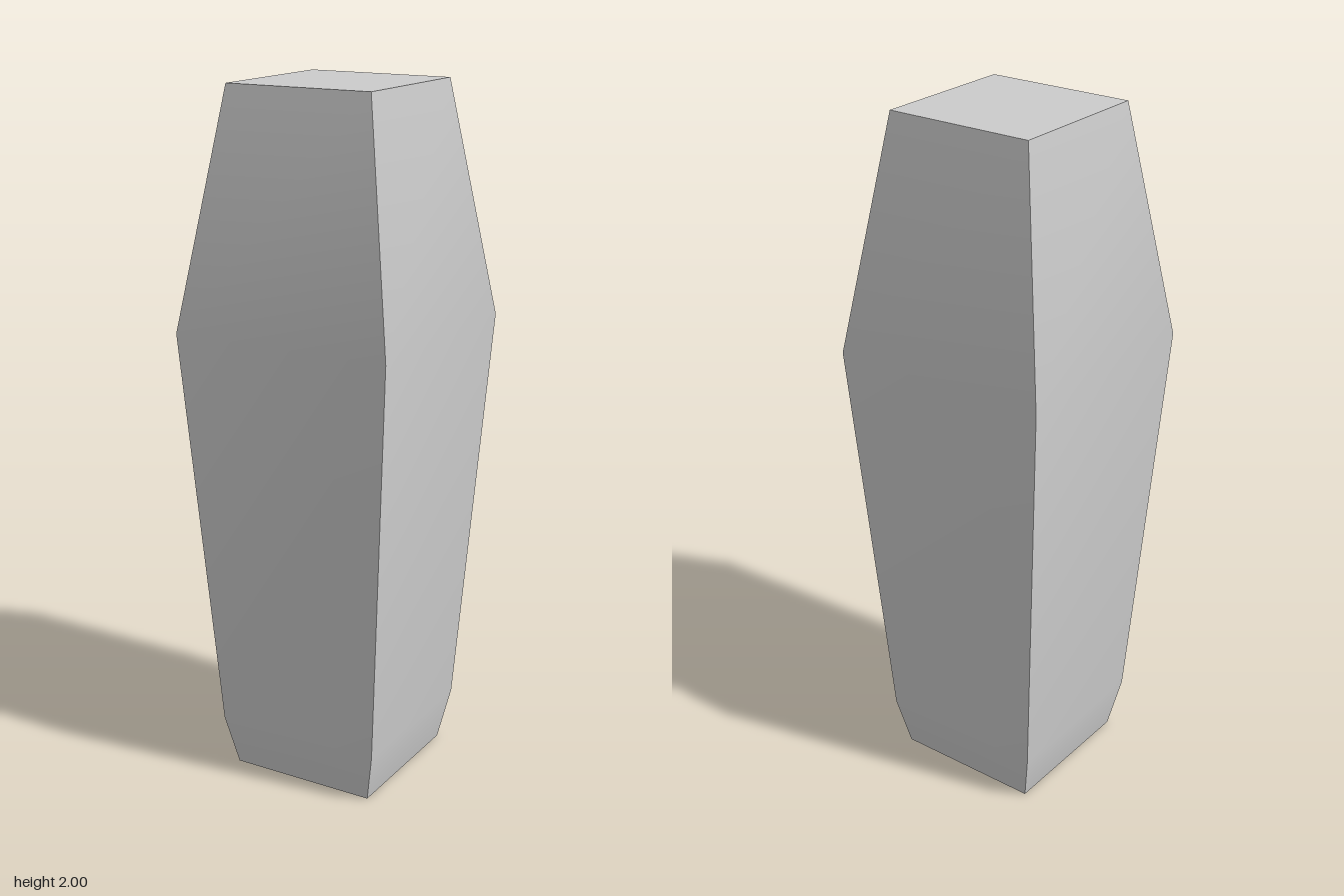
import * as THREE from 'three';

// Square cross-sections from the base up: [height, half width]
const SECTIONS = [[0, 0.22], [0.15, 0.25], [1.33, 0.327], [2, 0.22]];

// Square column whose rows of vertices follow the sections
function taperedColumn(sections) {
  const rows = sections.length - 1;
  const geometry = new THREE.BoxGeometry(2, rows, 2, 1, rows, 1);
  const position = geometry.attributes.position;
  for (let i = 0; i < position.count; i++) {
    const [height, half] = sections[Math.round(position.getY(i) + rows / 2)];
    position.setXYZ(i, position.getX(i) * half, height, position.getZ(i) * half);
  }
  // Each side is shaded smoothly along its height; corners and ends stay sharp
  geometry.computeVertexNormals();
  return geometry;
}

export function createModel() {
  const model = new THREE.Group();
  model.name = 'taperedBlock';
  const body = new THREE.Mesh(
    taperedColumn(SECTIONS),
    new THREE.MeshStandardMaterial({ color: 0xcccccc })
  );
  body.name = 'body';
  model.add(body);
  return model;
}
